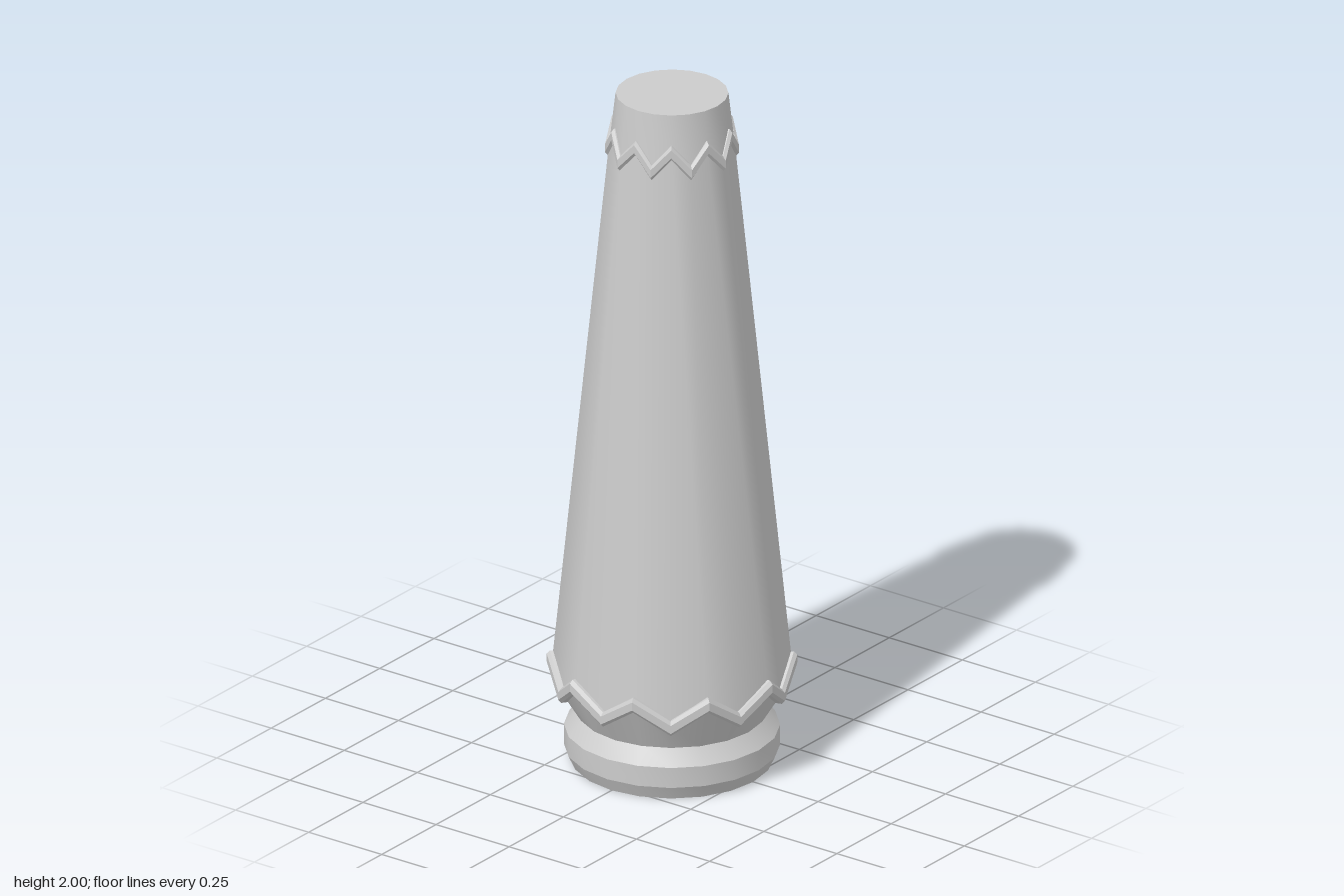
import * as THREE from 'three';
import { toCreasedNormals } from 'three/addons/utils/BufferGeometryUtils.js';

const SIDES = 20;
const FLAT = Math.cos(Math.PI / 10); // middle of a decagon side, relative to its corner
const material = new THREE.MeshStandardMaterial({ color: 0xcccccc });

// Joins rings listed from the bottom up; each ring maps a column to [radius, height]
function loft(name, rings, crease) {
  const positions = [];
  const index = [];
  for (const ring of rings) {
    for (let i = 0; i < SIDES; i++) {
      const [r, y] = ring(i);
      const a = (i / SIDES) * Math.PI * 2;
      positions.push(r * Math.cos(a), y, r * Math.sin(a));
    }
  }
  for (let j = 0; j < rings.length - 1; j++) {
    for (let i = 0; i < SIDES; i++) {
      const k = (i + 1) % SIDES;
      const a = j * SIDES + i, b = j * SIDES + k;
      const d = a + SIDES, c = b + SIDES;
      if (rings[j + 1](i)[0] > 0) index.push(a, d, c);
      if (rings[j](i)[0] > 0) index.push(a, c, b);
      else if (rings[j + 1](i)[0] === 0) continue;
    }
  }
  const geometry = new THREE.BufferGeometry();
  geometry.setAttribute('position', new THREE.Float32BufferAttribute(positions, 3));
  geometry.setIndex(index);
  const mesh = new THREE.Mesh(toCreasedNormals(geometry, crease), material);
  mesh.name = name;
  return mesh;
}

// Round ring
const round = (r, y) => () => [r, y];
// Decagonal ring: even columns are corners, odd ones side middles
const zigzag = (r, yCorner, yMiddle) => (i) => (i % 2 ? [r * FLAT, yMiddle] : [r, yCorner]);

// Zigzag trim with a bevelled outer face
function trim(name, r, yCorner, yMiddle, depth) {
  const section = [[-depth, -0.022], [-0.009, -0.022], [0, -0.012], [0, 0.012], [-0.009, 0.022], [-depth, 0.022]];
  const rings = section.map(([dr, dy]) => zigzag(r + dr, yCorner + dy, yMiddle + dy));
  return loft(name, [...rings, rings[0]], 0.3);
}

export function createModel() {
  const group = new THREE.Group();
  group.name = 'taperedPost';

  // Foot ring with chamfered edges
  group.add(loft('foot', [
    round(0, 0), round(0.278, 0), round(0.297, 0.04),
    round(0.297, 0.1), round(0.262, 0.145), round(0, 0.145),
  ], 0.4));

  // Underside flare, from the round neck out to the zigzag edge
  group.add(loft('flare', [round(0.262, 0.145), zigzag(0.329, 0.295, 0.228)], 0.8));

  // Tall tapered shaft
  group.add(loft('shaft', [zigzag(0.329, 0.295, 0.228), zigzag(0.174, 1.835, 1.89)], 0.8));

  // Round collar and flat top
  group.add(loft('collar', [zigzag(0.174, 1.835, 1.89), round(0.155, 2), round(0, 2)], 0.8));

  // Zigzag trims hiding the two joints
  group.add(trim('lowerTrim', 0.344, 0.298, 0.228, 0.03));
  group.add(trim('upperTrim', 0.184, 1.832, 1.892, 0.025));

  return group;
}
